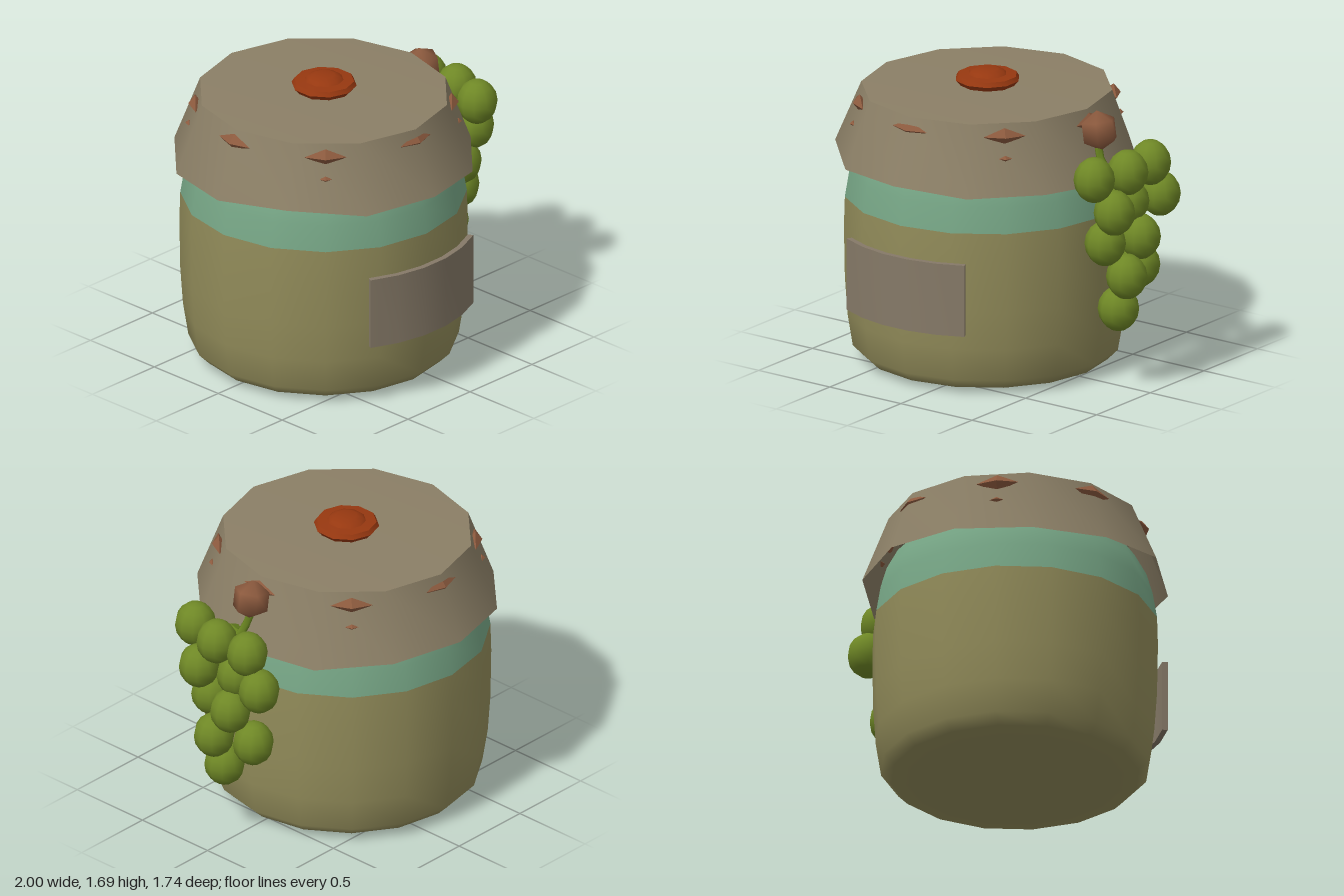
import * as THREE from 'three';
import { toCreasedNormals } from 'three/addons/utils/BufferGeometryUtils.js';

const mat = (name, color, side = THREE.FrontSide) => {
  const m = new THREE.MeshStandardMaterial({ color, side });
  m.name = name;
  return m;
};
const lathe = (pts, segments) =>
  new THREE.LatheGeometry(pts.map(([r, y]) => new THREE.Vector2(r, y)), segments);

export function createModel() {
  const clay = mat('olive clay', 0x928c5a);
  const teal = mat('teal glaze', 0x76a585);
  const cloth = mat('taupe cloth', 0x8b7f66, THREE.DoubleSide);
  const paper = mat('label grey', 0x857967);
  const brown = mat('brown', 0x8c5a3e);
  const rust = mat('rust red', 0x973810);
  const green = mat('grape green', 0x6f8826);
  const stemGreen = mat('stem green', 0x66801f, THREE.DoubleSide);

  const model = new THREE.Group();
  const jar = new THREE.Group();
  jar.name = 'jar';
  jar.position.x = -0.15;
  model.add(jar);
  const add = (parent, name, geometry, material, x = 0, y = 0, z = 0) => {
    const mesh = new THREE.Mesh(geometry, material);
    mesh.name = name;
    mesh.position.set(x, y, z);
    parent.add(mesh);
    return mesh;
  };

  // Rounded pot with a glazed band round the neck
  add(jar, 'body', lathe([[0, 0], [0.5, 0.003], [0.7, 0.03], [0.76, 0.09], [0.79, 0.28],
    [0.805, 0.5], [0.81, 0.8], [0.805, 0.97]], 16), clay);
  add(jar, 'glazeBand', lathe([[0.805, 0.97], [0.78, 1.12], [0.745, 1.24], [0.68, 1.36]], 16), teal);

  // Twelve-sided cloth lid with an uneven hem
  const hem = [1.22, 1.195, 1.2, 1.18, 1.165, 1.2, 1.21, 1.2, 1.185, 1.2, 1.24, 1.205];
  const lidShape = lathe([[0.87, 1.2], [0.72, 1.59], [0, 1.61]], 12);
  for (let i = 0; i <= 12; i++) lidShape.attributes.position.setY(i * 3, hem[i % 12]);
  lidShape.scale(0.98, 1, 1);
  add(jar, 'lid', toCreasedNormals(lidShape.toNonIndexed(), 0.8), cloth);

  // Knob on the lid
  const knob = lathe([[0.15, 1.59], [0.165, 1.615], [0.185, 1.635], [0.17, 1.66],
    [0.11, 1.665], [0.095, 1.68], [0.06, 1.692], [0, 1.69]], 10);
  add(jar, 'knob', toCreasedNormals(knob.toNonIndexed(), 0.7), rust, 0.005);

  // Diamond studs round the lid, with small ones below the diagonal ones
  const stud = (angle, r, y, w, h, d) => {
    const m = add(jar, 'stud', new THREE.OctahedronGeometry(1), brown,
      r * Math.sin(angle), y, r * Math.cos(angle));
    m.scale.set(w, h, d);
    m.rotation.y = angle;
  };
  for (let i = 0; i < 8; i++) {
    const a = i * Math.PI / 4;
    stud(a, 0.72, 1.52, 0.12, 0.05, 0.04);
    if (i % 2) stud(a, 0.757, 1.4, 0.04, 0.018, 0.02);
  }

  // Curved label plate on the front
  const half = 0.497;
  const label = new THREE.Shape();
  for (let i = 0; i <= 5; i++) {
    const a = -half + i * half * 2 / 5;
    const [x, y] = [0.87 * Math.sin(a), -0.87 * Math.cos(a)];
    i ? label.lineTo(x, y) : label.moveTo(x, y);
  }
  for (let i = 5; i >= 0; i--) {
    const a = -half + i * half * 2 / 5;
    label.lineTo(0.838 * Math.sin(a), -0.838 * Math.cos(a));
  }
  const plate = new THREE.ExtrudeGeometry(label, { depth: 0.42, bevelEnabled: false });
  plate.rotateX(-Math.PI / 2);
  add(jar, 'label', toCreasedNormals(plate, 0.5), paper, 0.005, 0.385, 0);

  // Brown bead holding the bunch
  const bead = add(model, 'bead', new THREE.SphereGeometry(0.115, 6, 3), brown, 0.64, 1.48, 0);
  bead.rotation.z = 0.15;

  // Stem and leaf behind the grapes
  const stem = new THREE.CatmullRomCurve3([new THREE.Vector3(0.63, 1.42, 0),
    new THREE.Vector3(0.67, 1.31, 0.02), new THREE.Vector3(0.82, 1.2, 0.03)]);
  add(model, 'stem', new THREE.TubeGeometry(stem, 6, 0.025, 5), stemGreen);
  const leaf = add(model, 'leaf', new THREE.OctahedronGeometry(1), stemGreen, 0.7, 1.27, 0.1);
  leaf.scale.set(0.08, 0.035, 0.11);

  // Grapes: x, y, z of each centre
  const bunch = new THREE.Group();
  bunch.name = 'grapes';
  model.add(bunch);
  const grape = new THREE.SphereGeometry(0.117, 10, 8);
  grape.scale(1, 1.12, 1);
  [[0.81, 1.29, 0.27], [0.875, 1.29, 0.045], [0.865, 1.29, -0.18],
    [0.88, 1.085, 0.175], [0.81, 1.085, -0.05], [0.865, 1.085, -0.27],
    [0.8, 0.885, 0.155], [0.88, 0.885, -0.065],
    [0.88, 0.68, 0.06], [0.8, 0.68, -0.165], [0.81, 0.475, 0.045],
  ].forEach(([x, y, z]) => add(bunch, 'grape', grape, green, x, y, z));

  return model;
}
